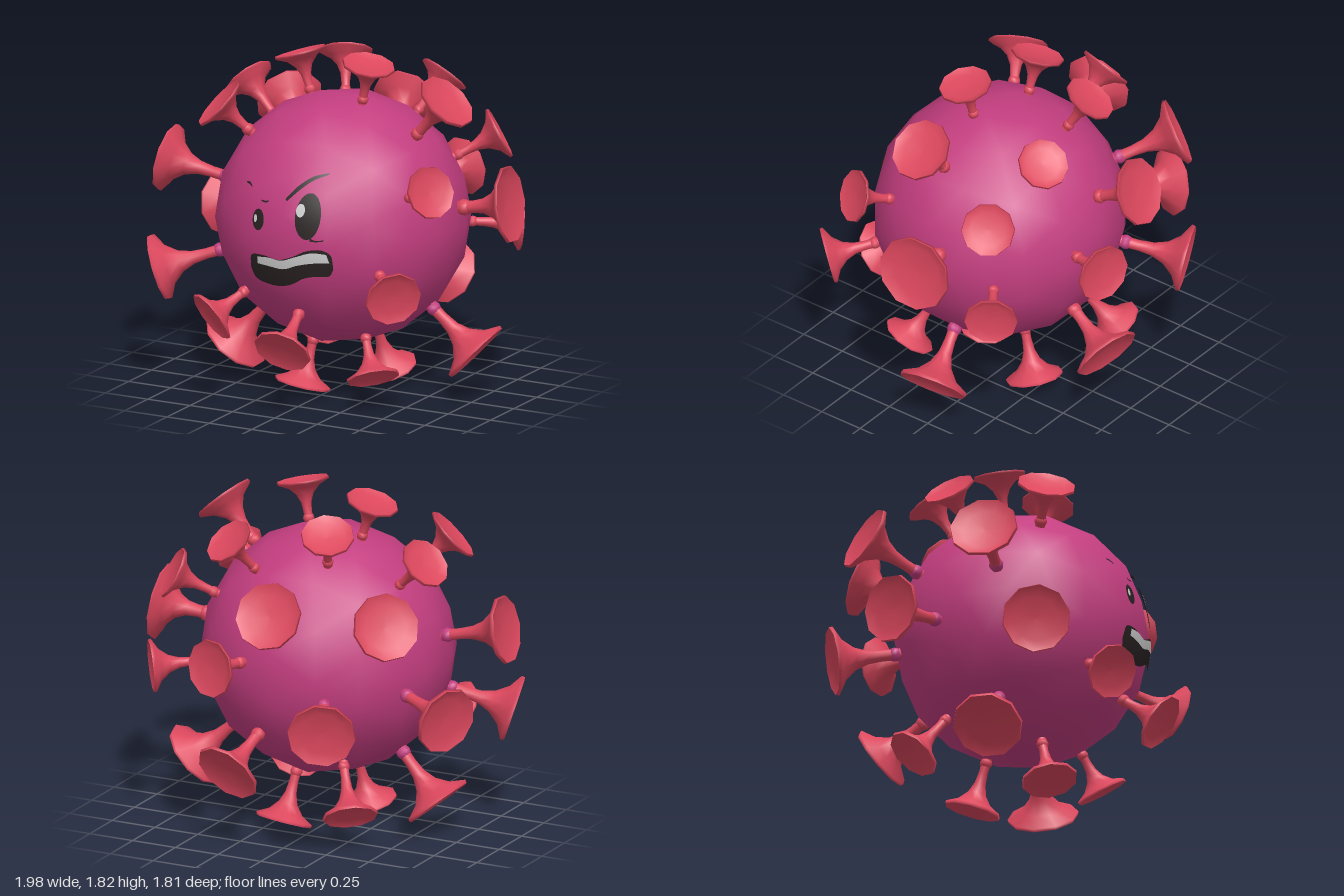
import * as THREE from 'three';

const C = new THREE.Vector3(0.035, 0.935, 0.075); // centre of the body
const R = 0.665;

const mat = (name, color, side = THREE.FrontSide) => {
  const m = new THREE.MeshStandardMaterial({ color, side });
  m.name = name;
  return m;
};

// Spikes: centre of the cup rim (x, y, z) and rim radius
const SPIKES = [
  // crown
  [-0.24, 1.77, 0.04, 0.14], [0.23, 1.79, 0.155, 0.14], [0.67, 1.64, 0.11, 0.165],
  [-0.53, 1.54, 0.39, 0.155], [-0.63, 1.54, -0.11, 0.14], [-0.18, 1.69, -0.35, 0.14],
  [0.35, 1.61, -0.45, 0.135],
  // upper ring
  [0.77, 1.25, 0.47, 0.14], [0.72, 1.36, -0.37, 0.14], [0.95, 1.08, -0.06, 0.205],
  [-0.95, 1.14, 0.18, 0.18], [-0.64, 1.32, -0.57, 0.18], [-0.05, 1.35, -0.77, 0.18],
  [0.28, 1.02, -0.79, 0.155],
  // lower ring
  [0.68, 0.72, 0.71, 0.15], [0.8, 0.86, -0.45, 0.14], [-0.86, 0.62, 0.44, 0.18],
  [-0.88, 0.78, -0.35, 0.18], [-0.39, 0.76, -0.82, 0.18], [0.2, 0.45, -0.75, 0.18],
  [0.08, 0.385, 0.82, 0.155], [-0.4, 0.48, 0.71, 0.145],
  // underside
  [0.76, 0.26, -0.04, 0.185], [-0.6, 0.17, 0.09, 0.185], [0.39, 0.18, 0.4, 0.14],
  [-0.1, 0.05, 0.27, 0.148], [0.14, 0.05, -0.23, 0.15], [-0.34, 0.19, -0.4, 0.145],
];

const lathe = (pts) =>
  new THREE.LatheGeometry(pts.map(([r, y]) => new THREE.Vector2(r, y)), 10);

// Trumpet-shaped spike standing on the sphere, pointing along its local +y
function makeSpike([x, y, z, r], red, pink) {
  const dir = new THREE.Vector3(x, y, z).sub(C);
  const top = dir.length();
  dir.normalize();
  const root = R - 0.03;
  const h = top - root;
  const g = new THREE.Group();
  g.name = 'spike';
  const s = r / 0.15;

  const horn = new THREE.Mesh(lathe([
    [0.026 * s, root], [0.024 * s, root + h * 0.3], [0.03 * s, root + h * 0.5],
    [0.05 * s, root + h * 0.68], [0.09 * s, root + h * 0.84], [r, root + h * 0.95],
    [r * 0.98, top],
  ]), red);
  horn.name = 'horn';

  // shallow cup closing the wide end
  const cup = new THREE.Mesh(lathe([
    [r * 0.98, top], [r * 0.66, top - 0.022 * s], [0, top - 0.026 * s],
  ]), red);
  cup.name = 'cup';

  // small knob where the stem meets the body
  const knob = new THREE.Mesh(
    new THREE.SphereGeometry(0.032 * s, 10, 6), top > 0.975 ? pink : red);
  knob.name = 'stemKnob';
  knob.position.y = R + 0.01;

  g.add(horn, cup, knob);
  g.position.copy(C);
  g.quaternion.setFromUnitVectors(new THREE.Vector3(0, 1, 0), dir);
  return g;
}

// Thin patch between an upper and a lower curve, wrapped onto the body
function makePatch(name, upper, lower, material, lift) {
  const curve = (pts) => new THREE.CatmullRomCurve3(
    pts.map(([x, y]) => new THREE.Vector3(x, y, 0)));
  const a = curve(upper), b = curve(lower);
  const geo = new THREE.PlaneGeometry(1, 1, 28, 6);
  const pos = geo.attributes.position;
  for (let i = 0; i < pos.count; i++) {
    const u = Math.min(1, Math.max(0, pos.getX(i) + 0.5));
    const v = Math.min(1, Math.max(0, 0.5 - pos.getY(i)));
    const p = a.getPoint(u).lerp(b.getPoint(u), v);
    const dx = p.x - C.x, dy = p.y - C.y, rr = R + lift;
    pos.setXYZ(i, p.x, p.y, C.z + Math.sqrt(rr * rr - dx * dx - dy * dy));
  }
  geo.computeVertexNormals();
  const m = new THREE.Mesh(geo, material);
  m.name = name;
  return m;
}

// Oval patch made of an upper and a lower half arc
function makeOval(name, cx, cy, rx, ry, material, lift) {
  const arc = (sign) => Array.from({ length: 13 }, (_, i) => {
    const t = Math.PI * (1 - i / 12);
    return [cx + rx * Math.cos(t), cy + sign * ry * Math.sin(t)];
  });
  return makePatch(name, arc(1), arc(-1), material, lift);
}

export function createModel() {
  const pink = mat('body pink', 0xc43e80);
  const red = mat('spike red', 0xdc475d);
  const black = mat('face black', 0x2a2223, THREE.DoubleSide);
  const white = mat('tooth white', 0xd0d0d0, THREE.DoubleSide);

  const model = new THREE.Group();
  model.name = 'spikyGerm';

  const body = new THREE.Mesh(new THREE.IcosahedronGeometry(R, 2), pink);
  body.name = 'body';
  body.position.copy(C);
  model.add(body);

  const spikes = new THREE.Group();
  spikes.name = 'spikes';
  SPIKES.forEach((s) => spikes.add(makeSpike(s, red, pink)));
  model.add(spikes);

  const face = new THREE.Group();
  face.name = 'face';
  face.add(
    // eyes with highlights
    makeOval('rightEye', -0.118, 1.045, 0.037, 0.055, black, 0.002),
    makeOval('rightEyeGlint', -0.135, 1.05, 0.011, 0.02, white, 0.005),
    makeOval('leftEye', 0.17, 1.095, 0.068, 0.118, black, 0.002),
    makeOval('leftEyeGlint', 0.13, 1.125, 0.024, 0.034, white, 0.005),
    makePatch('leftEyeCrease', [[0.19, 0.985], [0.22, 0.975], [0.26, 0.98]],
      [[0.19, 0.97], [0.22, 0.968], [0.26, 0.974]], black, 0.002),
    // brows
    makePatch('leftBrow', [[0.035, 1.172], [0.09, 1.238], [0.16, 1.29], [0.235, 1.312]],
      [[0.045, 1.162], [0.1, 1.218], [0.165, 1.272], [0.235, 1.303]], black, 0.002),
    makePatch('rightBrowOuter', [[-0.235, 1.213], [-0.21, 1.215], [-0.19, 1.2]],
      [[-0.235, 1.207], [-0.21, 1.203], [-0.19, 1.194]], black, 0.002),
    makePatch('rightBrowInner', [[-0.11, 1.147], [-0.085, 1.146], [-0.065, 1.15]],
      [[-0.11, 1.14], [-0.085, 1.138], [-0.065, 1.143]], black, 0.002),
    // mouth and upper teeth
    makePatch('mouth',
      [[-0.173, 0.79], [-0.16, 0.85], [-0.08, 0.862], [0.01, 0.85], [0.09, 0.875],
        [0.17, 0.915], [0.25, 0.925], [0.295, 0.9], [0.304, 0.84]],
      [[-0.173, 0.78], [-0.15, 0.725], [-0.08, 0.702], [0.01, 0.7], [0.08, 0.722],
        [0.15, 0.762], [0.22, 0.778], [0.28, 0.782], [0.304, 0.82]], black, 0.002),
    makePatch('teeth',
      [[-0.12, 0.848], [-0.05, 0.855], [0.03, 0.85], [0.11, 0.878], [0.2, 0.908], [0.275, 0.904]],
      [[-0.12, 0.81], [-0.05, 0.807], [0.04, 0.803], [0.12, 0.832], [0.21, 0.852], [0.29, 0.856]],
      white, 0.005),
  );
  model.add(face);

  return model;
}
